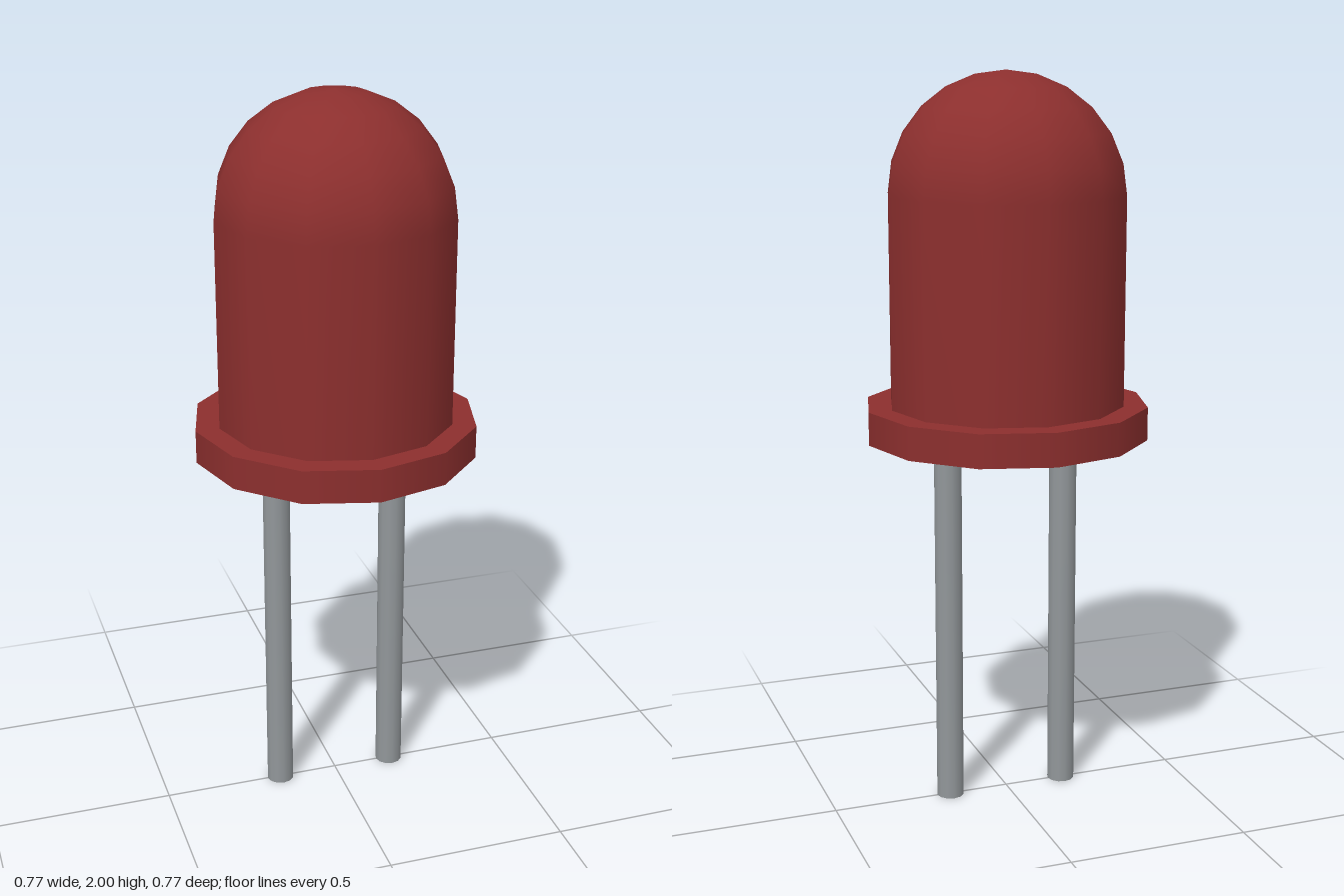
import * as THREE from 'three';

export function createModel() {
  const group = new THREE.Group();
  const red = new THREE.MeshStandardMaterial({ color: 0x8c2f2e });
  const metal = new THREE.MeshStandardMaterial({ color: 0x92979a });
  const sides = 12, bodyRadius = 0.32, domeBase = 1.68, flangeTop = 1.12, flangeBottom = 1.03;

  function add(name, geometry, material, x = 0, y = 0) {
    const mesh = new THREE.Mesh(geometry, material);
    mesh.name = name;
    mesh.position.set(x, y, 0);
    group.add(mesh);
  }

  // Bulb: straight wall running into a hemispherical dome
  const profile = [new THREE.Vector2(bodyRadius, flangeTop)];
  const rings = 6;
  for (let i = 0; i <= rings; i++) {
    const a = (i / rings) * Math.PI / 2;
    const r = i === rings ? 0 : bodyRadius * Math.cos(a);
    profile.push(new THREE.Vector2(r, domeBase + bodyRadius * Math.sin(a)));
  }
  add('bulb', new THREE.LatheGeometry(profile, sides), red);

  // Rim around the base of the bulb
  const flangeHeight = flangeTop - flangeBottom;
  add('baseFlange', new THREE.CylinderGeometry(0.385, 0.385, flangeHeight, sides), red,
    0, (flangeTop + flangeBottom) / 2);

  // Two wire legs
  for (const [name, x] of [['leftLeg', 0.167], ['rightLeg', -0.167]]) {
    add(name, new THREE.CylinderGeometry(0.038, 0.038, flangeBottom, sides), metal, x, flangeBottom / 2);
  }

  return group;
}
